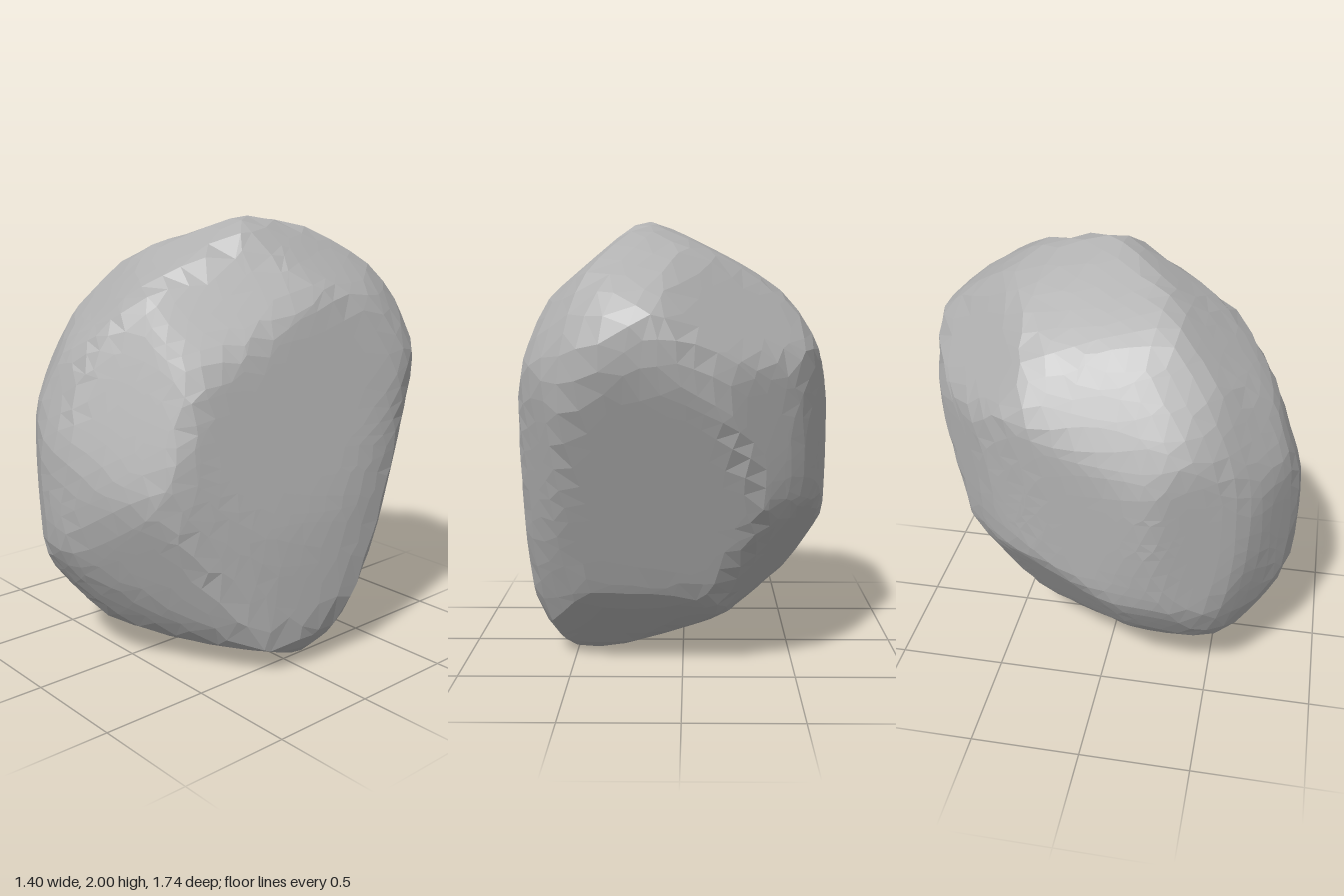
import * as THREE from 'three';

// Outlines of the boulder, measured from its middle; every edge becomes a cutting facet
const FRONT = [
  [-0.7, -0.05], [-0.69, 0.2], [-0.61, 0.42], [-0.45, 0.68], [-0.33, 0.79], [0.18, 1.01], [0.58, 0.66],
  [0.7, 0.27], [0.7, -0.5], [0.66, -0.78], [0.5, -1], [0.36, -1.01], [-0.45, -0.73], [-0.66, -0.4],
];
const SIDE = [
  [0.86, 0], [0.7, 0.45], [0.55, 0.65], [0.4, 0.79], [0, 1.01], [-0.42, 0.93], [-0.8, 0.67], [-0.87, 0.58],
  [-0.87, 0.4], [-0.48, -0.63], [-0.12, -1], [-0.03, -1.01], [0.6, -0.8], [0.84, -0.4], [0.86, -0.2],
];
const PLAN = [
  [0.7, -0.5], [0.68, -0.2], [0.58, 0.2], [0.38, 0.64], [0, 0.84], [-0.12, 0.86], [-0.5, 0.66],
  [-0.7, 0.24], [-0.6, -0.3], [-0.5, -0.5], [-0.18, -0.79], [0.05, -0.86], [0.32, -0.87], [0.6, -0.74],
];
// Outlines across the corners, on planes leaning by LEAN
const LONG_DIAGONAL = [
  [-0.82, 0.01], [-0.81, -0.23], [-0.71, -0.65], [-0.38, -0.95], [0.43, -1.02], [0.5, -0.99], [0.64, -0.81],
  [0.73, -0.59], [0.94, 0.41], [0.82, 0.68], [0.62, 0.87], [0.4, 0.93], [0.16, 0.92], [-0.41, 0.73],
  [-0.68, 0.45], [-0.8, 0.22],
];
const LONG_DIAGONAL_BACK = [
  [-0.95, 0.2], [-0.9, 0.38], [-0.71, 0.63], [-0.19, 0.96], [0.29, 0.81], [0.62, 0.55], [0.77, 0.28],
  [0.82, 0.07], [0.8, -0.38], [0.7, -0.57], [0.61, -0.65], [-0.04, -0.84], [-0.46, -0.83], [-0.6, -0.69],
  [-0.87, -0.11],
];
const SHORT_DIAGONAL = [
  [0.07, 1.05], [0.4, 0.93], [0.65, 0.77], [0.72, 0.43], [0.73, 0.07], [0.68, -0.22], [0.19, -0.86],
  [-0.11, -1], [-0.38, -0.92], [-0.56, -0.68], [-0.7, -0.26], [-0.7, -0.08], [-0.61, 0.28], [-0.2, 0.95],
];
// Cleaved side, front shoulder and the two back corners: normal and distance from the middle
const SLANTS = [
  [0.95, 0.12, 0.28, 0.56], [0.55, 0.25, 0.8, 0.67], [-0.55, 0.55, -0.62, 0.8], [-0.6, -0.5, -0.62, 0.71],
];
const LEAN = THREE.MathUtils.degToRad(25);
const SHARPNESS = 70;
const FULLNESS = 1.02; // makes up for the stone lost in rounding the edges

const X = new THREE.Vector3(1, 0, 0);
const Y = new THREE.Vector3(0, 1, 0);
const Z = new THREE.Vector3(0, 0, 1);

// Outward facets along a closed outline drawn on the plane of axes u and v
function outlineFacets(outline, u, v) {
  return outline.map(([a, b], i) => {
    const [c, d] = outline[(i + 1) % outline.length];
    const normal = u.clone().multiplyScalar(d - b).addScaledVector(v, a - c).normalize();
    const distance = normal.dot(u) * a + normal.dot(v) * b;
    return { normal: normal.multiplyScalar(Math.sign(distance)), distance: Math.abs(distance) };
  });
}

// The same on a leaning plane: across runs sideways, lean is the way its top tips
function leaningFacets(outline, across, lean) {
  const v = lean.clone().normalize().multiplyScalar(Math.sin(LEAN)).addScaledVector(Y, Math.cos(LEAN));
  return outlineFacets(outline, across.clone().normalize(), v);
}

// Distance from the middle to the softly rounded solid inside all facets
function reach(direction, facets) {
  let sum = 0;
  for (const { normal, distance } of facets) {
    sum += Math.max(0, normal.dot(direction) / distance) ** SHARPNESS;
  }
  return FULLNESS * sum ** (-1 / SHARPNESS);
}

// Small repeatable shift that makes the chipped facets irregular
function chip(d, seed) {
  return Math.sin(d.x * 41 + d.y * 67 + d.z * 53 + seed * 17.3) * 0.025;
}

function boulderGeometry() {
  const leftFront = new THREE.Vector3(1, 0, 1);
  const leftBack = new THREE.Vector3(1, 0, -1);
  const rightFront = leftBack.clone().negate();
  const rightBack = leftFront.clone().negate();
  const facets = [
    ...outlineFacets(FRONT, X, Y),
    ...outlineFacets(SIDE, Z, Y),
    ...outlineFacets(PLAN, X, Z),
    ...leaningFacets(LONG_DIAGONAL, leftBack, rightBack),
    ...leaningFacets(LONG_DIAGONAL_BACK, rightFront, leftFront),
    ...leaningFacets(SHORT_DIAGONAL, rightBack, leftBack),
    ...SLANTS.map(([x, y, z, distance]) => ({ normal: new THREE.Vector3(x, y, z), distance })),
  ];
  const geometry = new THREE.IcosahedronGeometry(1, 11);
  const pos = geometry.attributes.position;
  const d = new THREE.Vector3();
  for (let i = 0; i < pos.count; i++) {
    d.fromBufferAttribute(pos, i);
    d.set(d.x + chip(d, 1), d.y + chip(d, 2), d.z + chip(d, 3)).normalize();
    d.multiplyScalar(reach(d, facets)).add(Y);
    pos.setXYZ(i, d.x, Math.max(0, d.y), d.z);
  }
  geometry.computeVertexNormals();
  return geometry;
}

export function createModel() {
  const stone = new THREE.MeshStandardMaterial({ color: 0xb0b0b0, flatShading: true });
  stone.name = 'stoneGrey';

  const boulder = new THREE.Mesh(boulderGeometry(), stone);
  boulder.name = 'boulder';

  const group = new THREE.Group();
  group.name = 'rock';
  group.add(boulder);
  return group;
}
